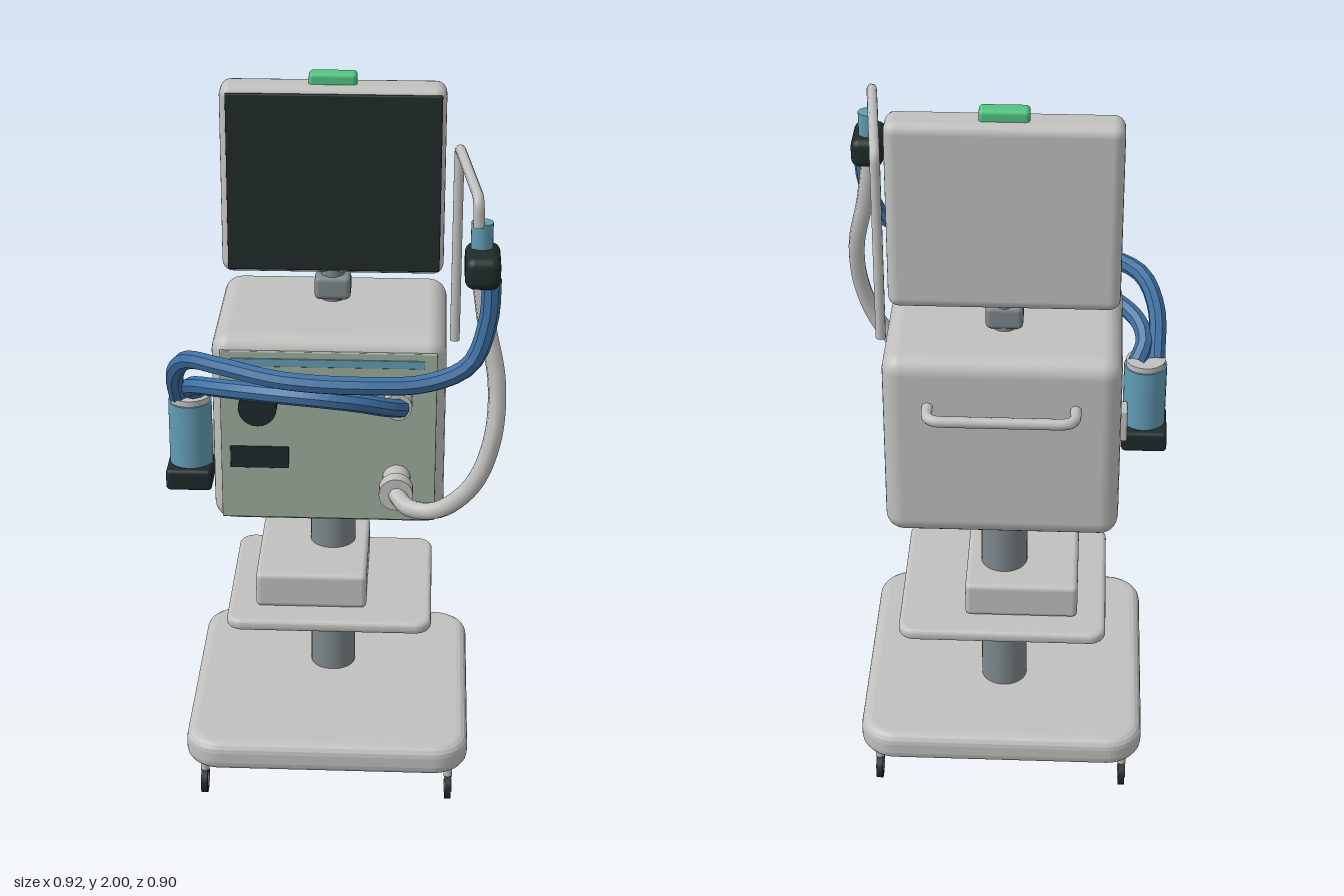
import * as THREE from 'three';
import { RoundedBoxGeometry } from 'three/addons/geometries/RoundedBoxGeometry.js';

const mat = (name, color, extra = {}) => {
  const m = new THREE.MeshStandardMaterial({ color, ...extra });
  m.name = name;
  return m;
};

export function createModel() {
  const root = new THREE.Group();
  root.name = 'medicalCart';
  const casing = mat('casing grey', 0xc0c0be);
  const column = mat('column grey', 0x7e888c);
  const panelGreen = mat('panel green', 0x9cad9c);
  const black = mat('black', 0x1f2a2a);
  const hoseBlue = mat('hose blue', 0x3d70a3, { flatShading: true });
  const lightBlue = mat('light blue', 0x629db5);
  const green = mat('lamp green', 0x4fc581);

  const add = (name, geo, material, x = 0, y = 0, z = 0, parent = root) => {
    const m = new THREE.Mesh(geo, material);
    m.name = name;
    m.position.set(x, y, z);
    parent.add(m);
    return m;
  };
  // Rounded box given by its two extreme corners
  const block = (name, material, [x0, y0, z0], [x1, y1, z1], r, parent) =>
    add(name, new RoundedBoxGeometry(x1 - x0, y1 - y0, z1 - z0, 3, r), material,
      (x0 + x1) / 2, (y0 + y1) / 2, (z0 + z1) / 2, parent);
  const cyl = (name, material, r, h, x, y, z, axis = 'y', parent = root) => {
    const g = new THREE.CylinderGeometry(r, r, h, 24);
    if (axis === 'z') g.rotateX(Math.PI / 2);
    if (axis === 'x') g.rotateZ(Math.PI / 2);
    return add(name, g, material, x, y, z, parent);
  };
  // Horizontal plate with rounded plan corners and rounded edges
  const slab = (name, material, w, h, d, r, bevel, x, y, z) => {
    const a = w / 2 - bevel, b = d / 2 - bevel, c = r - bevel;
    const s = new THREE.Shape();
    s.moveTo(-a + c, -b);
    s.absarc(a - c, -b + c, c, -Math.PI / 2, 0);
    s.absarc(a - c, b - c, c, 0, Math.PI / 2);
    s.absarc(-a + c, b - c, c, Math.PI / 2, Math.PI);
    s.absarc(-a + c, -b + c, c, Math.PI, Math.PI * 1.5);
    const g = new THREE.ExtrudeGeometry(s, {
      depth: h - 2 * bevel, bevelSize: bevel, bevelThickness: bevel, bevelSegments: 4, curveSegments: 6,
    });
    g.rotateX(-Math.PI / 2);
    return add(name, g, material, x, y + bevel, z);
  };
  const v = (p) => new THREE.Vector3(...p);
  const hose = (name, material, pts, r, sides = 8) =>
    add(name, new THREE.TubeGeometry(new THREE.CatmullRomCurve3(pts.map(v)), 40, r, sides), material);
  // Rigid bar: straight runs joined by small bends
  const bar = (name, pts, r, bend) => {
    const p = pts.map(v), path = new THREE.CurvePath();
    let last = p[0];
    for (let i = 1; i < p.length - 1; i++) {
      const a = p[i].clone().add(p[i - 1].clone().sub(p[i]).setLength(bend));
      const b = p[i].clone().add(p[i + 1].clone().sub(p[i]).setLength(bend));
      path.add(new THREE.LineCurve3(last, a));
      path.add(new THREE.QuadraticBezierCurve3(a, p[i], b));
      last = b;
    }
    path.add(new THREE.LineCurve3(last, p[p.length - 1]));
    return add(name, new THREE.TubeGeometry(path, 80, r, 10), casing);
  };

  // Base and casters
  slab('base', casing, 0.8, 0.09, 0.8, 0.1, 0.03, -0.01, 0.1, -0.05);
  for (const x of [-0.357, 0.337]) for (const z of [-0.395, 0.295]) {
    const caster = new THREE.Group();
    caster.name = 'caster';
    caster.position.set(x, 0, z);
    root.add(caster);
    cyl('wheel', black, 0.038, 0.018, 0, 0.038, 0, 'x', caster);
    cyl('wheelHub', casing, 0.019, 0.022, 0, 0.038, 0, 'x', caster);
    cyl('casterStem', casing, 0.012, 0.035, 0, 0.088, 0, 'y', caster);
  }

  // Column, shelf and the box on the shelf
  cyl('column', column, 0.065, 0.65, -0.01, 0.5, -0.14);
  slab('shelf', casing, 0.58, 0.035, 0.53, 0.045, 0.014, -0.01, 0.46, -0.088);
  block('shelfBox', casing, [-0.22, 0.494, -0.275], [0.095, 0.6, 0.095], 0.015);

  // Main housing with its front panel
  block('housing', casing, [-0.325, 0.805, -0.325], [0.307, 1.36, 0.176], 0.05);
  block('frontPanel', panelGreen, [-0.3, 0.83, 0.172], [0.283, 1.325, 0.184], 0.003);
  block('panelStripe', lightBlue, [-0.27, 1.283, 0.181], [0.25, 1.306, 0.187], 0.002);
  block('panelDisplay', black, [-0.275, 0.983, 0.181], [-0.115, 1.047, 0.188], 0.002);
  cyl('knob', black, 0.052, 0.04, -0.197, 1.175, 0.201, 'z');
  cyl('upperPort', casing, 0.038, 0.07, 0.18, 1.2, 0.216, 'z');
  cyl('lowerPort', casing, 0.038, 0.07, 0.178, 0.96, 0.216, 'z');
  cyl('lowerPortCollar', casing, 0.046, 0.042, 0.178, 0.96, 0.27, 'z');
  bar('rearHandle', [[-0.205, 1.22, -0.31], [-0.205, 1.22, -0.393], [0.185, 1.22, -0.393], [0.185, 1.22, -0.31]], 0.015, 0.04);

  // Monitor
  cyl('monitorStem', column, 0.033, 0.12, -0.01, 1.4, -0.13);
  block('monitorJoint', column, [-0.06, 1.365, -0.166], [0.04, 1.433, -0.09], 0.015);
  block('monitorCase', casing, [-0.315, 1.44, -0.197], [0.295, 1.97, -0.092], 0.03);
  block('screen', black, [-0.296, 1.457, -0.094], [0.284, 1.953, -0.08], 0.004);
  block('alarmLamp', green, [-0.075, 1.96, -0.17], [0.055, 2, -0.12], 0.012);

  // Hose support arm
  bar('supportArm', [[0.33, 1.27, -0.055], [0.33, 1.825, -0.055], [0.376, 1.825, 0.362], [0.378, 1.75, 0.362]], 0.014, 0.035);
  const cap = add('armEnd', new THREE.CircleGeometry(0.014, 10), casing, 0.33, 1.27, -0.055);
  cap.rotation.x = Math.PI / 2;

  // Patient connector
  cyl('connectorNeck', lightBlue, 0.028, 0.075, 0.387, 1.718, 0.34);
  block('connectorBlock', black, [0.345, 1.605, 0.285], [0.435, 1.69, 0.44], 0.025);

  // Canister on the right side
  cyl('canister', lightBlue, 0.06, 0.19, -0.395, 1.035, 0.068);
  cyl('canisterLid', casing, 0.055, 0.017, -0.395, 1.138, 0.068);
  block('canisterBase', black, [-0.46, 0.885, -0.01], [-0.333, 0.947, 0.145], 0.012);
  block('canisterBracket', casing, [-0.348, 0.93, -0.027], [-0.318, 1.03, 0.03], 0.006);

  // Breathing hoses
  hose('longHose', hoseBlue, [
    [0.413, 1.63, 0.4], [0.408, 1.52, 0.405], [0.365, 1.4, 0.415], [0.26, 1.348, 0.42], [0.08, 1.335, 0.418],
    [-0.12, 1.332, 0.385], [-0.28, 1.335, 0.31], [-0.38, 1.32, 0.235], [-0.422, 1.25, 0.165], [-0.425, 1.14, 0.08],
  ], 0.025);
  hose('shortHose', hoseBlue, [
    [0.19, 1.195, 0.245], [0.15, 1.222, 0.3], [0.08, 1.252, 0.342], [-0.02, 1.268, 0.354], [-0.15, 1.265, 0.322],
    [-0.28, 1.245, 0.25], [-0.37, 1.215, 0.165], [-0.39, 1.18, 0.105], [-0.37, 1.14, 0.058],
  ], 0.025);
  hose('paleHose', casing, [
    [0.178, 0.96, 0.28], [0.21, 0.945, 0.33], [0.29, 0.96, 0.372], [0.38, 1.05, 0.4], [0.428, 1.18, 0.393],
    [0.435, 1.33, 0.36], [0.405, 1.48, 0.335], [0.385, 1.62, 0.33],
  ], 0.024);

  return root;
}
